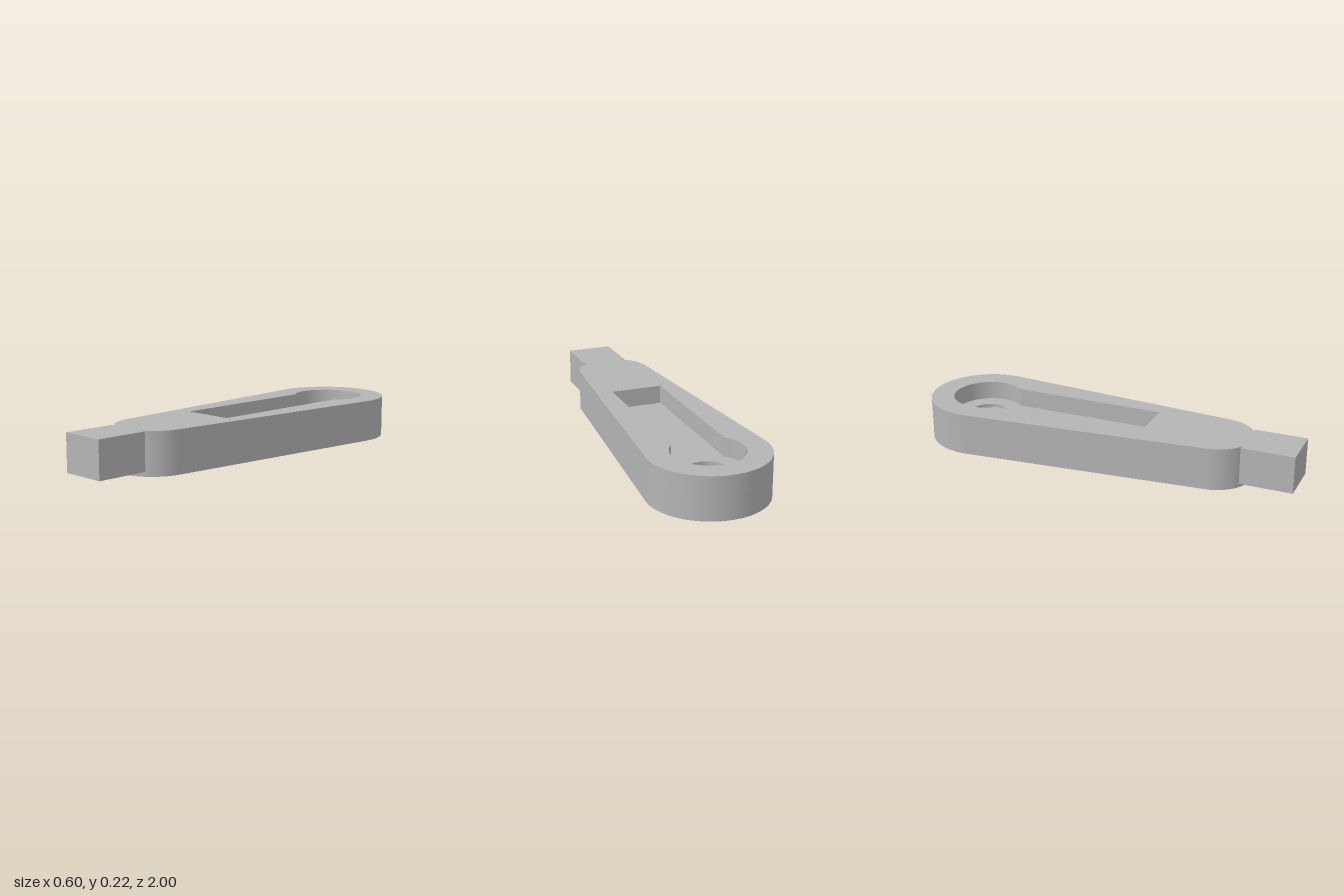
import * as THREE from 'three';
import { toCreasedNormals } from 'three/addons/utils/BufferGeometryUtils.js';

const HEIGHT = 0.216, FLOOR = 0.12;
const BIG = { y: 0.702, r: 0.298 }, SMALL = { y: -0.57, r: 0.19 };

// Plan shapes are drawn with their y pointing to the back (-z).
function armOutline() {
  const a = Math.asin((BIG.r - SMALL.r) / (BIG.y - SMALL.y));
  const s = new THREE.Shape();
  s.absarc(0, BIG.y, BIG.r, -a, Math.PI + a, false);
  s.absarc(0, SMALL.y, SMALL.r, Math.PI + a, 2 * Math.PI - a, false);
  s.closePath();
  return s;
}

function boreHole() {
  return new THREE.Path().absarc(0, BIG.y, 0.098, 0, Math.PI * 2, false);
}

// Keyhole: round recess running into a straight slot
function keyhole() {
  const r = 0.18, w = 0.135, end = -0.22, a = Math.acos(w / r);
  const p = new THREE.Path();
  p.absarc(0, BIG.y, r, -a, Math.PI + a, false);
  p.lineTo(-w, end);
  p.lineTo(w, end);
  p.closePath();
  return p;
}

function slab(name, hole, y0, y1, material) {
  const shape = armOutline();
  shape.holes.push(hole);
  const geo = new THREE.ExtrudeGeometry(shape, { depth: y1 - y0, bevelEnabled: false, curveSegments: 40 });
  geo.rotateX(-Math.PI / 2);
  geo.translate(0, y0, 0);
  const mesh = new THREE.Mesh(toCreasedNormals(geo, 0.5), material);
  mesh.name = name;
  return mesh;
}

export function createModel() {
  const grey = new THREE.MeshStandardMaterial({ color: 0xb4b4b4 });
  grey.name = 'plain grey';
  const group = new THREE.Group();
  group.name = 'leverArm';

  // Tapered arm: bored base below, keyhole pocket above
  group.add(slab('armBase', boreHole(), 0, FLOOR, grey));
  group.add(slab('pocketRim', keyhole(), FLOOR, HEIGHT, grey));

  // Square tab at the narrow end, raised slightly off the ground
  const tab = new THREE.Mesh(new THREE.BoxGeometry(0.238, HEIGHT - 0.026, 0.268), grey);
  tab.name = 'endTab';
  tab.position.set(0, (HEIGHT + 0.026) / 2, 0.866);
  group.add(tab);
  return group;
}
